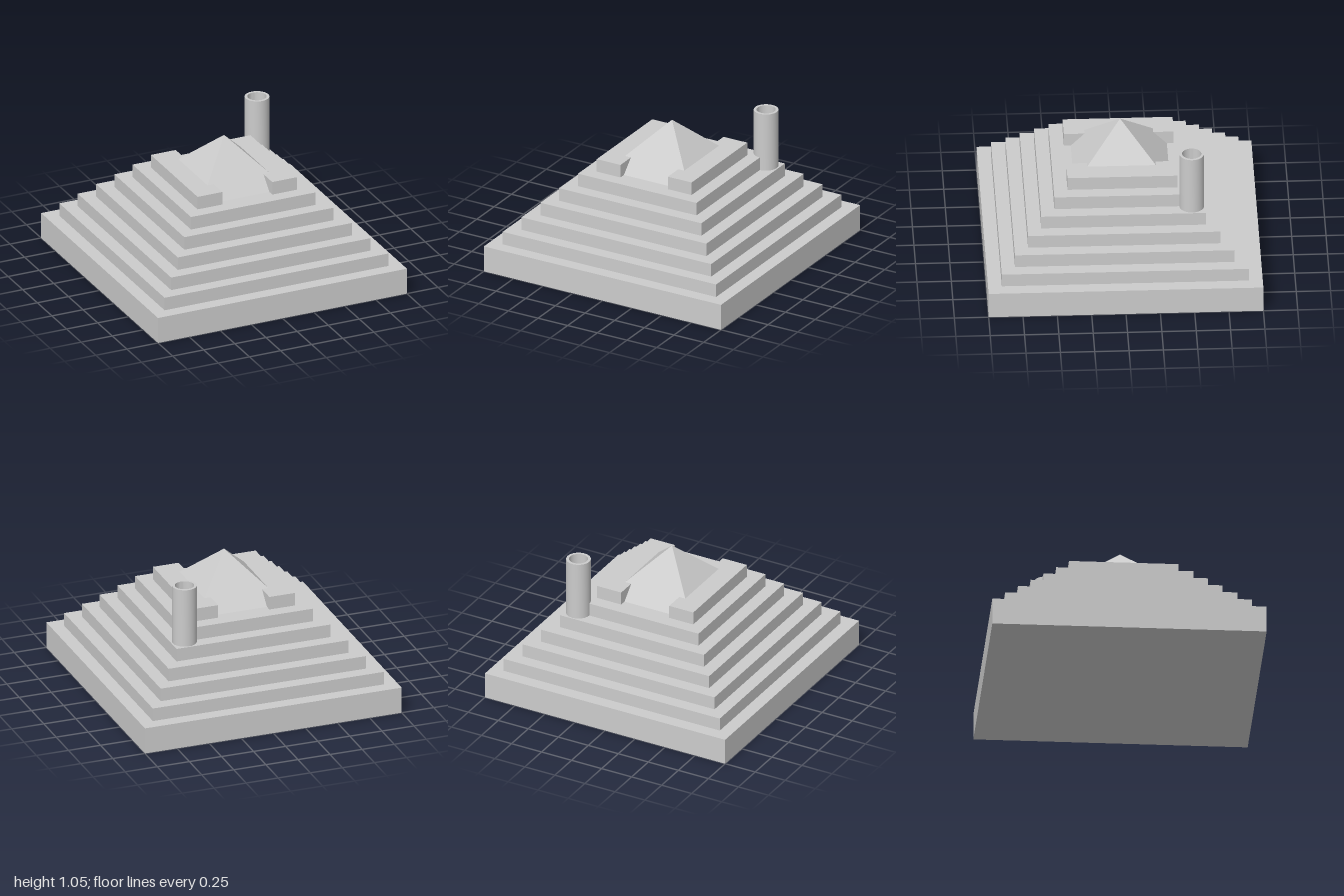
import * as THREE from 'three';
import { toCreasedNormals } from 'three/addons/utils/BufferGeometryUtils.js';

export function createModel() {
  const model = new THREE.Group();
  model.name = 'steppedPyramid';
  const material = new THREE.MeshStandardMaterial({ color: 0xcccccc, flatShading: true });
  const smooth = new THREE.MeshStandardMaterial({ color: 0xcccccc });

  const add = (name, geometry, mat, x, y, z) => {
    const mesh = new THREE.Mesh(geometry, mat);
    mesh.name = name;
    mesh.position.set(x, y, z);
    model.add(mesh);
    return mesh;
  };
  // Box standing on height y
  const block = (name, w, h, d, x, y) =>
    add(name, new THREE.BoxGeometry(w, h, d), material, x, y + h / 2, 0);

  // Thick base slab
  block('base', 2, 0.2, 2, 0, 0);

  // Square steps, each 0.1 high and set in by 0.1
  for (let i = 1; i <= 5; i++) {
    const side = 2 - 0.2 * i;
    block(`step${i}`, side, 0.1, side, 0, 0.1 + 0.1 * i);
  }

  // Top step, split by a passage running front to back
  block('topStepLeft', 0.2, 0.1, 0.8, 0.3, 0.7);
  block('topStepRight', 0.2, 0.1, 0.8, -0.3, 0.7);

  // Pyramid roof, its foot sunk between the top blocks
  const roof = new THREE.ConeGeometry(0.35 * Math.SQRT2, 0.35, 4);
  roof.rotateY(Math.PI / 4);
  add('roof', roof, material, 0, 0.875, 0);

  // Hollow chimney on the back left corner
  const inner = 0.07, outer = 0.09, height = 0.45;
  const profile = [
    [inner, 0], [outer, 0], [outer, height], [inner, height], [inner, 0],
  ].map(([r, y]) => new THREE.Vector2(r, y));
  const chimney = toCreasedNormals(new THREE.LatheGeometry(profile, 48), 0.6);
  add('chimney', chimney, smooth, 0.5, 0.6, -0.5);

  return model;
}
